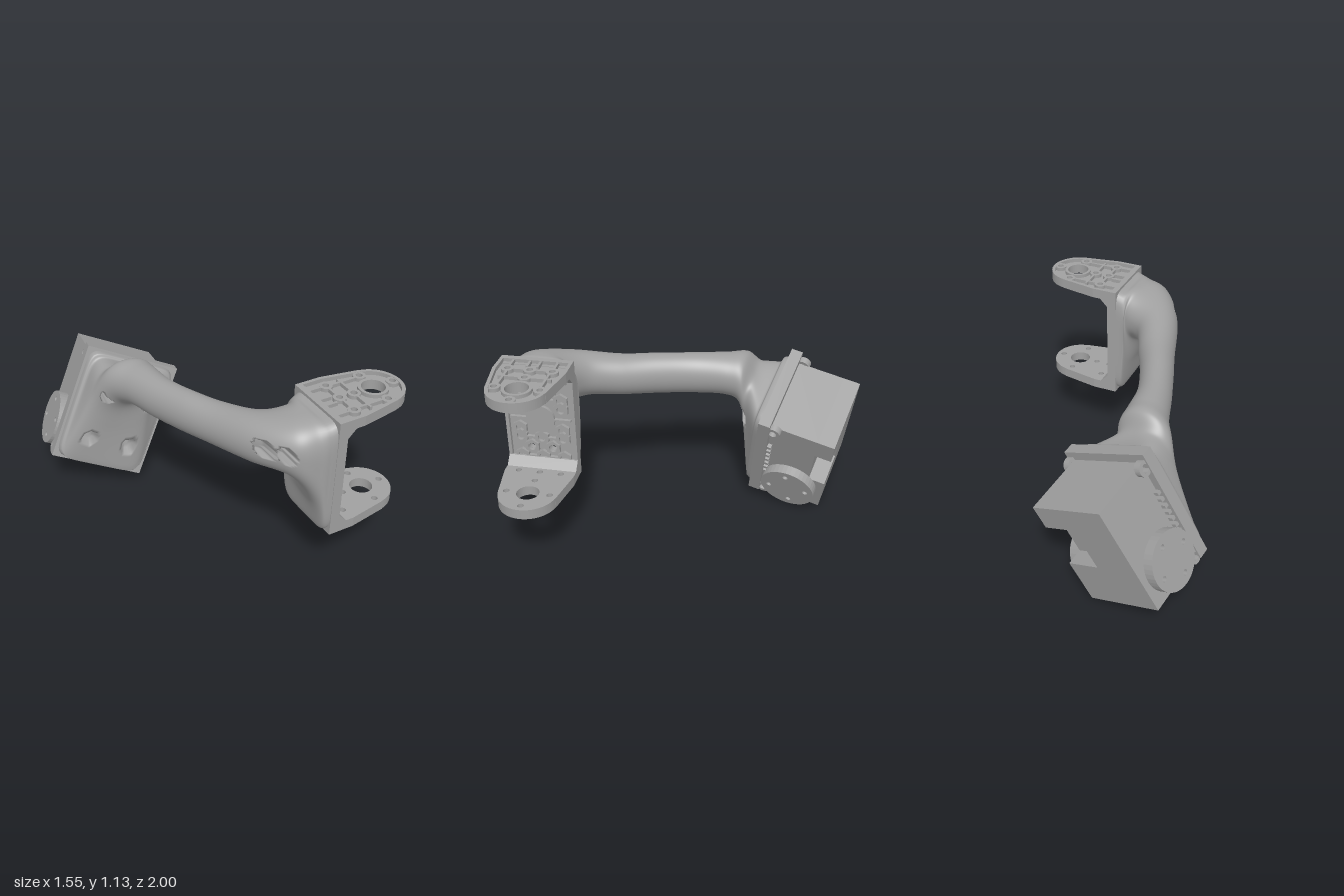
import * as THREE from 'three';

const grey = new THREE.MeshStandardMaterial({ color: 0xa0a0a0 });
grey.name = 'plain grey';

// ---- helpers ----
function add(parent, name, geo, x = 0, y = 0, z = 0) {
  const m = new THREE.Mesh(geo, grey);
  m.name = name;
  m.position.set(x, y, z);
  parent.add(m);
  return m;
}
const box = (p, name, w, h, d, x, y, z) => add(p, name, new THREE.BoxGeometry(w, h, d), x, y, z);
const extrude = (shape, depth) => new THREE.ExtrudeGeometry(shape, { depth, bevelEnabled: false, curveSegments: 20 });
function circle(Type, x, y, r) {
  const p = new Type();
  p.absarc(x, y, r, 0, Math.PI * 2, false);
  return p;
}
const hole = (shape, x, y, r) => { shape.holes.push(circle(THREE.Path, x, y, r)); return shape; };
function rect(w, h) {
  return new THREE.Shape([[-w, -h], [w, -h], [w, h], [-w, h]].map(([x, y]) => new THREE.Vector2(x / 2, y / 2)));
}
function hexagon(r) {
  const s = new THREE.Shape();
  for (let i = 0; i < 6; i++) {
    const a = i * Math.PI / 3 + Math.PI / 6;
    i ? s.lineTo(r * Math.cos(a), r * Math.sin(a)) : s.moveTo(r * Math.cos(a), r * Math.sin(a));
  }
  s.closePath();
  return s;
}

// ---- U bracket ----
// outline of a bracket ear: square root, tapering to a round tip
function earOutline(inset) {
  const k = inset, s = new THREE.Shape();
  s.moveTo(0.245 + k, -0.208 + k);
  s.lineTo(0.4, -0.208 + k);
  s.lineTo(0.63, -0.168 + k);
  s.absarc(0.6, 0, 0.168 - k, -1.4, 1.4, false);
  s.lineTo(0.63, 0.168 - k);
  s.lineTo(0.4, 0.208 - k);
  s.lineTo(0.245 + k, 0.208 - k);
  s.closePath();
  return s;
}
const earHoles = [[0.6, -0.127], [0.6, 0.127], [0.725, 0], [0.475, 0], [0.385, -0.127], [0.385, 0], [0.385, 0.127]];

function bracketEar() {
  const g = new THREE.Group();
  g.name = 'bracketEar';
  const flat = (shape, depth, top, name) => add(g, name, extrude(shape, depth).rotateX(Math.PI / 2), 0, top, 0);
  const base = hole(earOutline(0), 0.6, 0, 0.065);
  earHoles.forEach(([x, z]) => hole(base, x, z, 0.018));
  flat(base, 0.037, 0.342, 'earPlate');
  const rim = earOutline(0);
  rim.holes.push(new THREE.Path(earOutline(0.02).getPoints(12)));
  flat(rim, 0.024, 0.365, 'earRim');
  flat(hole(circle(THREE.Shape, 0.6, 0, 0.083), 0.6, 0, 0.065), 0.022, 0.363, 'earHubRing');
  earHoles.forEach(([x, z]) => flat(hole(circle(THREE.Shape, x, z, 0.036), x, z, 0.018), 0.022, 0.363, 'earScrewRing'));
  // stiffening ribs between the rings
  for (const s of [-1, 1]) {
    box(g, 'earRib', 0.1, 0.022, 0.014, 0.30, 0.352, s * 0.127);
    box(g, 'earRib', 0.1, 0.022, 0.014, 0.30, 0.352, s * 0.03);
    box(g, 'earRib', 0.014, 0.022, 0.07, 0.385, 0.352, s * 0.066);
    box(g, 'earRib', 0.15, 0.022, 0.014, 0.49, 0.352, s * 0.12);
    box(g, 'earRib', 0.014, 0.022, 0.12, 0.475, 0.352, s * 0.09);
  }
  // chamfer in the inner corner
  const tri = new THREE.Shape([[0.29, 0.31], [0.29, 0.255], [0.302, 0.255], [0.35, 0.305], [0.35, 0.31]]
    .map(p => new THREE.Vector2(...p)));
  add(g, 'cornerChamfer', extrude(tri, 0.416), 0, 0, -0.208);
  return g;
}

function bracket() {
  const g = new THREE.Group();
  g.name = 'bracket';
  g.position.set(0, 0.775, 0.79);
  const upper = bracketEar(), lower = bracketEar();
  lower.rotation.x = Math.PI;
  g.add(upper, lower);
  const upright = (shape, depth, x, y, z, name) => add(g, name, extrude(shape, depth).rotateY(Math.PI / 2), x, y, z);
  const web = rect(0.416, 0.73);
  for (const a of [-1, 1]) for (const b of [-1, 1]) hole(web, a * 0.063, b * 0.19, 0.022);
  upright(web, 0.035, 0.245, 0, 0, 'webPlate');
  const frame = rect(0.416, 0.69);
  frame.holes.push(new THREE.Path(rect(0.376, 0.6).getPoints()));
  upright(frame, 0.022, 0.28, 0, 0, 'webFrame');
  upright(circle(THREE.Shape, 0, 0, 0.085), 0.02, 0.28, 0, 0, 'webHub');
  // honeycomb of hexagonal rings joined by ribs
  for (const s of [-1, 1]) {
    for (const [y, cols] of [[0.255, [-0.127, 0, 0.127]], [0.19, [-0.063, 0.063]],
      [0.125, [-0.127, 0, 0.127]], [0.07, [-0.127, 0.127]]]) {
      for (const z of cols) upright(hole(hexagon(0.046), 0, 0, 0.024), 0.02, 0.28, s * y, z, 'honeycombRing');
    }
    for (const z of [-0.063, 0.063]) {
      box(g, 'honeycombRib', 0.02, 0.012, 0.05, 0.29, s * 0.255, z);
      box(g, 'honeycombRib', 0.02, 0.012, 0.05, 0.29, s * 0.125, z);
      box(g, 'honeycombRib', 0.02, 0.05, 0.012, 0.29, s * 0.285, z * 2);
    }
    box(g, 'honeycombRib', 0.02, 0.012, 0.1, 0.29, 0, s * 0.13);
  }
  return g;
}

// ---- motor frame: x across, y up, z towards its mounting plate ----
const U = new THREE.Vector3(0.883, -0.409, 0.232).normalize();
const F = new THREE.Vector3(-0.166, 0.19, 0.968).normalize();
const V = F.clone().cross(U).normalize();
U.copy(V).cross(F);
const motorMatrix = new THREE.Matrix4().makeBasis(U, V, F).setPosition(-0.3, 0.415, -0.905);
const motorTurn = new THREE.Quaternion().setFromRotationMatrix(motorMatrix);

function motor() {
  const g = new THREE.Group();
  g.name = 'motor';
  g.position.setFromMatrixPosition(motorMatrix);
  g.quaternion.copy(motorTurn);
  // housing with a notch in one rear edge
  box(g, 'housing', 0.498, 0.69, 0.3, 0, 0, 0.25);
  box(g, 'housingRearTop', 0.498, 0.145, 0.1, 0, 0.2725, 0.05);
  box(g, 'housingRearBottom', 0.498, 0.275, 0.1, 0, -0.2075, 0.05);
  box(g, 'housingRearMiddle', 0.279, 0.27, 0.1, -0.1095, 0.065, 0.05);
  box(g, 'mountingPlate', 0.59, 0.735, 0.07, 0, 0.03, 0.42);
  for (const s of [-1, 1]) {
    // output discs with four screw holes
    const disc = circle(THREE.Shape, 0, 0, 0.17);
    for (let i = 0; i < 4; i++) {
      const a = i * Math.PI / 2 + 0.2;
      hole(disc, 0.118 * Math.cos(a), 0.118 * Math.sin(a), 0.016);
    }
    add(g, 'outputDisc', extrude(disc, 0.06).rotateY(s * Math.PI / 2), s * 0.249, -0.175, 0.21);
    // screw bosses and the toothed slot on the plate edge
    for (const v of [-0.305, 0.325]) {
      add(g, 'screwBoss', extrude(hole(circle(THREE.Shape, 0, 0, 0.045), 0, 0, 0.024), 0.04)
        .rotateY(s * Math.PI / 2), s * 0.245, v, 0.365);
    }
    for (let i = 0; i < 7; i++) box(g, 'slotTooth', 0.03, 0.02, 0.03, s * 0.262, -0.12 + i * 0.045, 0.375);
  }
  return g;
}

// ---- curved arm lofted from bracket to motor plate ----
// centre x y z, yaw in degrees, turn towards motor frame, half width, half height, squareness
const sections = [
  [0.25, 0.775, 0.79, 90, 0, 0.205, 0.35, 8],
  [0.212, 0.775, 0.79, 90, 0, 0.205, 0.342, 6],
  [0.175, 0.865, 0.787, 85, 0, 0.205, 0.255, 3.5],
  [0.1, 0.945, 0.765, 65, 0, 0.19, 0.165, 2.5],
  [-0.02, 0.93, 0.63, 45, 0, 0.137, 0.137, 2.1],
  [-0.11, 0.895, 0.4, 26, 0, 0.11, 0.125, 2],
  [-0.19, 0.88, 0.2, 20, 0, 0.1, 0.125, 2],
  [-0.255, 0.868, 0, 16, 0, 0.102, 0.125, 2],
  [-0.295, 0.862, -0.2, 8, 0.08, 0.125, 0.13, 2],
  [-0.325, 0.83, -0.3, 4, 0.4, 0.16, 0.155, 2.1],
  [-0.355, 0.7, -0.36, 0, 0.8, 0.19, 0.2, 2.8],
  ...[[0.5, 0.25, 0.33, 7], [0.48, 0.272, 0.35, 9], [0.44, 0.282, 0.358, 10]].map(([w, a, b, n]) =>
    [...new THREE.Vector3(0, 0.03, w).applyMatrix4(motorMatrix).toArray(), 0, 1, a, b, n]),
];

function armGeometry() {
  const around = 120, steps = 16, rows = (sections.length - 1) * steps;
  const pos = [], index = [], last = sections.length - 1;
  const toMotor = motorMatrix.clone().invert();
  const yAxis = new THREE.Vector3(0, 1, 0), p = new THREE.Vector3(), q = new THREE.Quaternion();
  const pads = [[-0.13, -0.145], [0.13, -0.145], [-0.145, 0.185], [0.127, 0.178]];
  for (let i = 0; i <= rows; i++) {
    // smooth interpolation of the section values
    const k = Math.min(Math.floor(i / steps), last - 1), t = i / steps - k;
    const at = n => sections[Math.max(0, Math.min(last, n))];
    const [x, y, z, yaw, turn, a, b, n] = at(k).map((v1, c) => {
      const v0 = at(k - 1)[c], v2 = at(k + 1)[c], v3 = at(k + 2)[c];
      return v1 + 0.5 * t * (v2 - v0 + t * (2 * v0 - 5 * v1 + 4 * v2 - v3 + t * (3 * (v1 - v2) + v3 - v0)));
    });
    q.setFromAxisAngle(yAxis, yaw * Math.PI / 180).slerp(motorTurn, Math.max(0, Math.min(1, turn)));
    for (let j = 0; j < around; j++) {
      const c = Math.cos(j / around * 2 * Math.PI), s = Math.sin(j / around * 2 * Math.PI);
      const r = Math.pow(Math.abs(c) ** n + Math.abs(s) ** n, -1 / n);
      p.set(a * r * c, b * r * s, 0).applyQuaternion(q);
      p.x += x; p.y += y; p.z += z;
      // screw pockets sunk into the flange
      p.applyMatrix4(toMotor);
      if (p.z > 0.462 && p.z < 0.68 && pads.some(([u, v]) => Math.hypot(p.x - u, p.y - v) < 0.044)) p.z = 0.462;
      p.applyMatrix4(motorMatrix);
      // two cable holes near the bracket
      if (p.z > 0.62 && [-0.07, 0].some(h => Math.hypot((p.x - h) / 0.03, (p.y - 0.965) / 0.045) < 1)) p.z -= 0.1;
      pos.push(p.x, p.y, p.z);
      if (i < rows) {
        const A = i * around + j, C = i * around + (j + 1) % around;
        index.push(A, A + around, C, A + around, C + around, C);
      }
    }
  }
  const g = new THREE.BufferGeometry();
  g.setAttribute('position', new THREE.Float32BufferAttribute(pos, 3));
  g.setIndex(index);
  g.computeVertexNormals();
  return g;
}

export function createModel() {
  const model = new THREE.Group();
  model.name = 'jointLink';
  model.add(bracket(), motor());
  add(model, 'curvedArm', armGeometry());
  return model;
}
